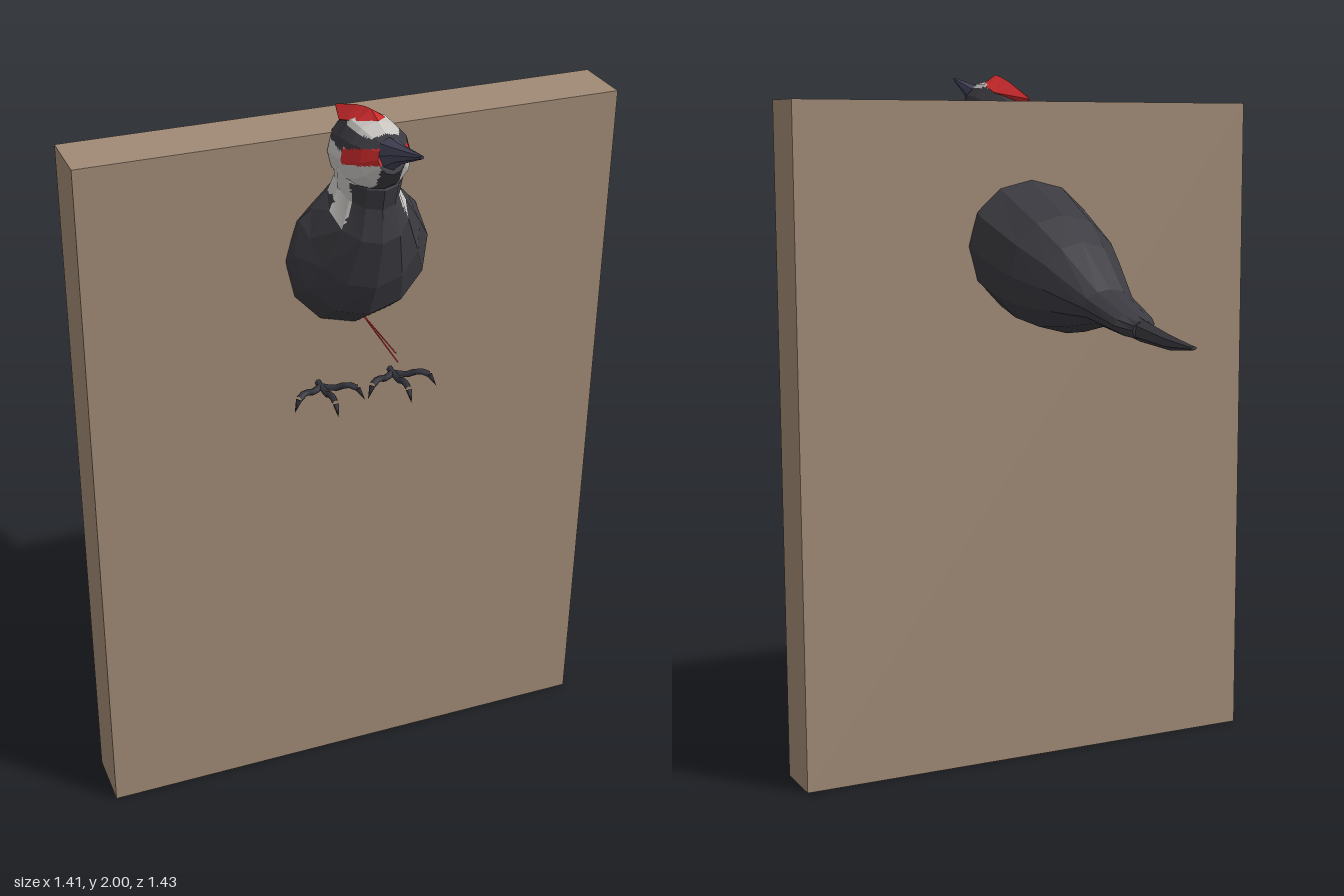
import * as THREE from 'three';

const material = (name, color) => {
  const m = new THREE.MeshStandardMaterial({ color });
  m.name = name;
  return m;
};

// Cross-section: top (y, z), bottom (y, z), half width.
// The section is a polygon of `sides`, each edge split `split` times.
function section([ty, tz, by, bz, w], sides, split) {
  const pts = [];
  const corner = (k) => {
    const a = (k / sides) * Math.PI * 2, c = Math.cos(a) / 2;
    return new THREE.Vector3(Math.sin(a) * w, (ty + by) / 2 + c * (ty - by), (tz + bz) / 2 + c * (tz - bz));
  };
  for (let k = 0; k < sides; k++)
    for (let s = 0; s < split; s++) pts.push(corner(k).lerp(corner(k + 1), s / split));
  return pts;
}

// Faceted skin over the sections; paint(centre) picks a material index per facet.
function loft(rows, sides, split = 1, paint = null) {
  const rings = [];
  rows.forEach((row, i) => {
    const next = rows[i + 1];
    for (let s = 0; s < (next ? split : 1); s++)
      rings.push(section(next ? row.map((v, k) => v + ((next[k] - v) * s) / split) : row, sides, split));
  });
  const lists = [[], [], []], n = sides * split;
  const face = (a, b, c) => {
    const centre = a.clone().add(b).add(c).divideScalar(3);
    lists[paint ? paint(centre) : 0].push(...a.toArray(), ...b.toArray(), ...c.toArray());
  };
  for (let i = 0; i < rings.length - 1; i++)
    for (let j = 0; j < n; j++) {
      const k = (j + 1) % n, p = rings[i], q = rings[i + 1];
      face(p[j], q[j], p[k]);
      face(q[j], q[k], p[k]);
    }
  // end caps
  const first = rings[0], last = rings[rings.length - 1];
  for (let j = 1; j < n - 1; j++) {
    face(first[0], first[j], first[j + 1]);
    face(last[0], last[j + 1], last[j]);
  }
  const g = new THREE.BufferGeometry();
  g.setAttribute('position', new THREE.Float32BufferAttribute(lists.flat(), 3));
  let start = 0;
  if (paint) lists.forEach((l, i) => {
    g.addGroup(start, l.length / 3, i);
    start += l.length / 3;
  });
  g.computeVertexNormals();
  return g;
}

// Plumage pattern: 0 dark, 1 white, 2 red.
function plumage({ x, y, z }) {
  const side = Math.abs(x);
  if (y > 1.962 && z < 0.51) return 1; // brow
  if (z > 0.44 && side > 0.02 && Math.abs(y - 1.9 - (z - 0.44) * 0.3) < 0.02) return 2; // cheek
  if (y > 1.925) return 0; // eye band
  if (y > 1.84 && z > 0.44 && side > 0.028) return 1; // jaw
  if (y > 1.78 && y < 1.91 && z > 0.34 && z < 0.46 && side > 0.03) return 1; // ear patch
  if (y > 1.71 && y <= 1.86 && z > 0.41 && z < 0.46 && side > 0.03) return 1; // neck stripe
  return 0;
}

export function createModel() {
  const wood = material('wood', 0xa08a75);
  const dark = material('dark feathers', 0x3b3a40);
  const white = material('white feathers', 0xc9c6c2);
  const red = material('red feathers', 0xcc2a2c);
  const horn = material('horn', 0x45445a);
  const claw = material('feet', 0x33333c);
  const coat = [dark, white, red];

  const model = new THREE.Group();
  const add = (name, geometry, mat, parent = model) => {
    const mesh = new THREE.Mesh(geometry, mat);
    mesh.name = name;
    parent.add(mesh);
    return mesh;
  };

  // mounting board
  add('board', new THREE.BoxGeometry(1.41, 1.92, 0.16), wood).position.set(0, 0.96, 0.26);

  // tail feathers
  add('tail', loft([
    [1.318, -0.715, 1.308, -0.715, 0.009],
    [1.335, -0.6, 1.296, -0.6, 0.016],
    [1.362, -0.46, 1.303, -0.45, 0.025],
    [1.4, -0.33, 1.32, -0.33, 0.03],
  ], 6), dark);

  // body from rump to breast
  add('body', loft([
    [1.358, -0.468, 1.308, -0.462, 0.03],
    [1.375, -0.42, 1.312, -0.42, 0.06],
    [1.425, -0.29, 1.33, -0.28, 0.078],
    [1.54, -0.13, 1.3, -0.15, 0.13],
    [1.61, -0.02, 1.285, -0.04, 0.168],
    [1.7, 0.18, 1.295, 0.08, 0.195],
    [1.75, 0.26, 1.325, 0.2, 0.197],
    [1.78, 0.31, 1.395, 0.34, 0.19],
    [1.79, 0.32, 1.46, 0.43, 0.178],
    [1.8, 0.32, 1.555, 0.475, 0.145],
    [1.81, 0.31, 1.69, 0.51, 0.1],
  ], 12), dark);

  // neck
  add('neck', loft([
    [1.81, 0.31, 1.69, 0.51, 0.1],
    [1.83, 0.3, 1.775, 0.502, 0.075],
    [1.87, 0.3, 1.83, 0.515, 0.08],
    [1.91, 0.31, 1.87, 0.5, 0.075],
  ], 12, 6, plumage), coat);

  // head
  add('head', loft([
    [1.925, 0.27, 1.8, 0.28, 0.05],
    [1.955, 0.32, 1.79, 0.34, 0.078],
    [1.985, 0.4, 1.79, 0.42, 0.086],
    [1.985, 0.46, 1.81, 0.48, 0.083],
    [1.975, 0.5, 1.845, 0.525, 0.065],
    [1.965, 0.54, 1.89, 0.56, 0.035],
  ], 12, 6, plumage), coat);

  // crest: a ridged wedge swept back to a point
  add('crest', loft([
    [1.93, 0.195, 1.922, 0.195, 0.002],
    [1.978, 0.33, 1.915, 0.33, 0.046],
    [1.992, 0.38, 1.935, 0.38, 0.047],
    [2.0, 0.42, 1.95, 0.42, 0.036],
    [1.987, 0.46, 1.965, 0.46, 0.012],
  ], 4), red);

  // beak
  add('beak', loft([
    [1.972, 0.53, 1.895, 0.55, 0.034],
    [1.978, 0.59, 1.932, 0.6, 0.022],
    [2.0, 0.717, 1.992, 0.718, 0.004],
  ], 8), horn);

  // thin forked strand below the breast
  const strand = new THREE.Group();
  strand.name = 'strand';
  model.add(strand);
  for (const [y, z] of [[1.44, 0.605], [1.422, 0.618]]) {
    const path = new THREE.LineCurve3(new THREE.Vector3(0, 1.44, 0.38), new THREE.Vector3(0, y, z));
    add('strandFork', new THREE.TubeGeometry(path, 1, 0.002, 4), red, strand);
  }

  // feet: arched toes with curved claws
  for (const s of [1, -1]) {
    const foot = new THREE.Group();
    foot.name = s > 0 ? 'leftFoot' : 'rightFoot';
    foot.position.set(s * 0.1, 1.235, 0.36);
    model.add(foot);
    for (const [dx, dz] of [[0, 0.115], [0.088, 0.06], [-0.088, 0.06], [0, -0.06]]) {
      const at = (t, y) => new THREE.Vector3(dx * t * s, y, dz * t);
      const toe = new THREE.CatmullRomCurve3([at(0, 0), at(0.35, 0), at(0.65, 0.014), at(0.9, 0.008)]);
      add('toe', new THREE.TubeGeometry(toe, 5, 0.009, 6), claw, foot);
      const tip = add('claw', new THREE.ConeGeometry(0.008, 0.036, 6), claw, foot);
      tip.position.copy(at(1, -0.009));
      tip.quaternion.setFromUnitVectors(new THREE.Vector3(0, 1, 0),
        at(1.08, -0.026).sub(at(0.88, 0.008)).normalize());
    }
  }
  return model;
}
